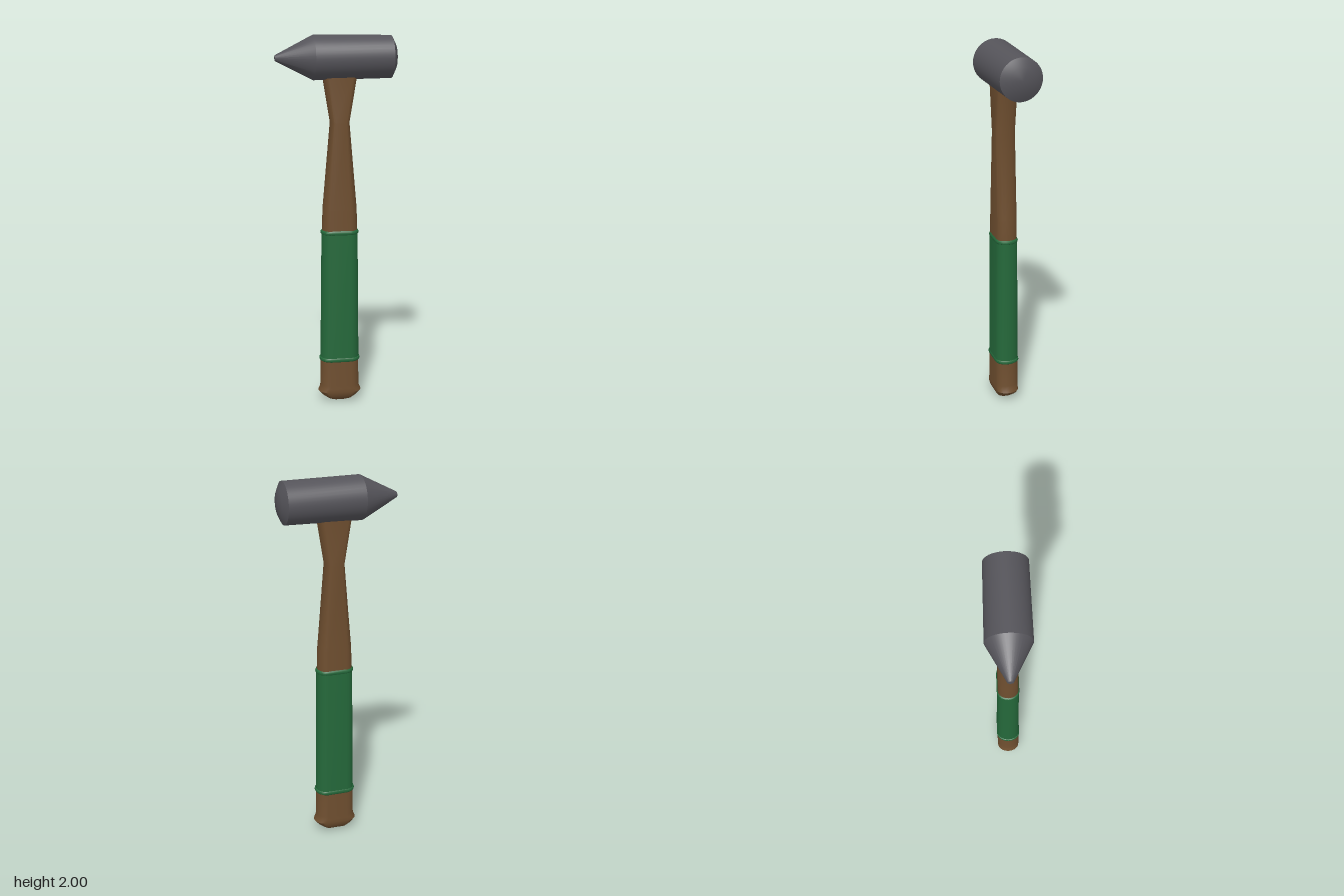
import * as THREE from 'three';
import { toCreasedNormals } from 'three/addons/utils/BufferGeometryUtils.js';

const HANDLE_X = 0.018;

// Handle section: flat front and back, elliptical sides. Ring = [y, halfWidth, halfDepth, sideRounding]
function section([y, w, d, r], arc = 10) {
  const pts = [];
  for (const side of [1, -1]) {
    for (let i = 0; i <= arc; i++) {
      const a = -Math.PI / 2 + (Math.PI * i) / arc;
      pts.push([HANDLE_X + side * (w - r + r * Math.cos(a)), y, side * d * Math.sin(a)]);
    }
  }
  return pts;
}

// Skin between rings listed from bottom to top, with closed ends
function loft(rings) {
  const sections = rings.map((r) => section(r));
  const n = sections[0].length;
  const index = [];
  for (let k = 0; k < sections.length - 1; k++) {
    for (let i = 0; i < n; i++) {
      const a = k * n + i, b = k * n + ((i + 1) % n);
      index.push(a, a + n, b, b, a + n, b + n);
    }
  }
  const top = (sections.length - 1) * n;
  for (let i = 1; i < n - 1; i++) {
    index.push(0, i, i + 1, top, top + i + 1, top + i);
  }
  const geo = new THREE.BufferGeometry();
  geo.setAttribute('position', new THREE.Float32BufferAttribute(sections.flat(2), 3));
  geo.setIndex(index);
  return toCreasedNormals(geo, 0.6);
}

export function createModel() {
  const group = new THREE.Group();
  const material = (name, color) => {
    const m = new THREE.MeshStandardMaterial({ color });
    m.name = name;
    return m;
  };
  const steel = material('dark steel', 0x55545a);
  const wood = material('brown wood', 0x6e4e2f);
  const green = material('green grip', 0x24683a);
  const add = (name, geo, mat) => {
    const mesh = new THREE.Mesh(geo, mat);
    mesh.name = name;
    group.add(mesh);
    return mesh;
  };

  // Head: pointed peen at -x, slightly domed striking face at +x
  const profile = [
    [0, -0.322], [0.015, -0.322], [0.117, -0.123], [0.112, 0.29], [0.068, 0.312], [0, 0.32],
  ].map(([r, x]) => new THREE.Vector2(r, x));
  const headGeo = toCreasedNormals(new THREE.LatheGeometry(profile, 40), 0.4);
  headGeo.rotateZ(-Math.PI / 2);
  add('head', headGeo, steel).position.y = 1.884;

  // Handle: flared rounded butt, slim waist, widening into the head
  add('handle', loft([
    [0.003, 0.012, 0.01, 0.006],
    [0.008, 0.035, 0.024, 0.015],
    [0.02, 0.068, 0.045, 0.03],
    [0.04, 0.097, 0.058, 0.045],
    [0.062, 0.117, 0.062, 0.05],
    [0.08, 0.109, 0.062, 0.05],
    [0.1, 0.105, 0.062, 0.05],
    [0.25, 0.104, 0.061, 0.05],
    [0.96, 0.095, 0.056, 0.045],
    [1.08, 0.092, 0.055, 0.042],
    [1.545, 0.051, 0.053, 0.022],
    [1.78, 0.09, 0.053, 0.028],
    [1.88, 0.1, 0.053, 0.028],
  ]), wood);

  // Grip sleeve
  add('grip', loft([
    [0.24, 0.105, 0.0622, 0.05],
    [0.96, 0.0975, 0.058, 0.046],
  ]), green);

  // Raised bead at each end of the grip
  for (const [name, y, w, d] of [['lowerGripBead', 0.247, 0.105, 0.0622], ['upperGripBead', 0.955, 0.0975, 0.058]]) {
    const rings = [[-0.013, -0.004], [-0.007, 0.004], [0, 0.006], [0.007, 0.004], [0.013, -0.004]];
    add(name, loft(rings.map(([dy, out]) => [y + dy, w + out, d + out * 0.5, 0.05])), green);
  }

  return group;
}
